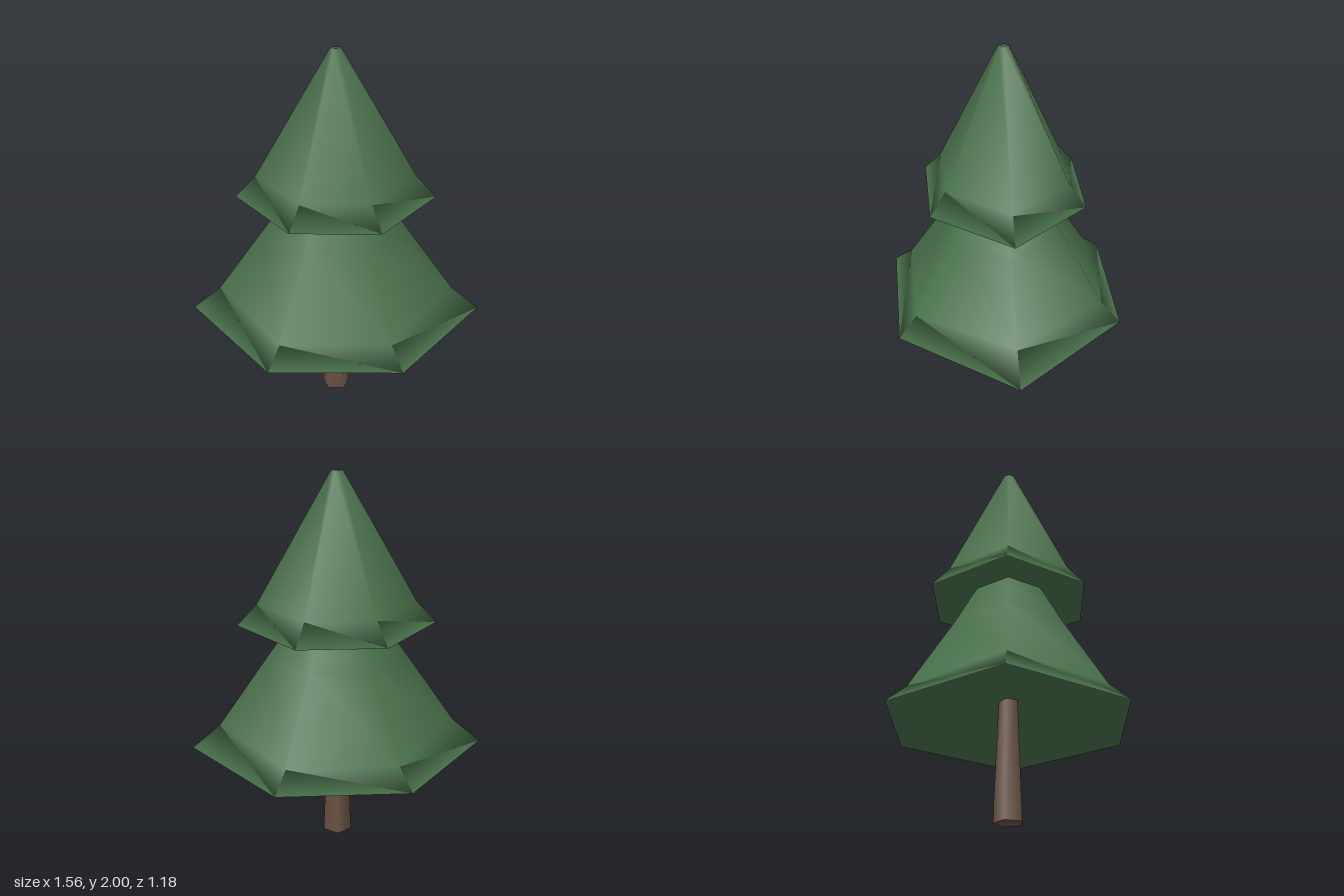
import * as THREE from 'three';

const needles = new THREE.MeshStandardMaterial({ color: 0x48704a });
const bark = new THREE.MeshStandardMaterial({ color: 0x6a5040 });
needles.name = 'needleGreen';
bark.name = 'barkBrown';

// Six-sided, smooth-shaded tier. Each ring is [radius, y, diagonalScale, diagonalDrop]:
// the four diagonal corners sit closer in than the two on the x axis.
function tier(name, rings) {
  const profile = rings.map(([r, y]) => new THREE.Vector2(r, y));
  const geometry = new THREE.LatheGeometry(profile, 6, Math.PI / 2);
  const pos = geometry.attributes.position;
  for (let i = 0; i < pos.count; i++) {
    const corner = Math.floor(i / rings.length);
    if (corner % 3 === 0) continue;
    const [, , scale = 0.87, drop = 0] = rings[i % rings.length];
    pos.setXYZ(i, pos.getX(i) * scale, pos.getY(i) - drop, pos.getZ(i) * scale);
  }
  const mesh = new THREE.Mesh(geometry, needles);
  mesh.name = name;
  return mesh;
}

export function createModel() {
  const tree = new THREE.Group();
  tree.name = 'pineTree';

  // Five-sided tapering trunk with a corner at the back
  const trunk = new THREE.Mesh(
    new THREE.CylinderGeometry(0.05, 0.08, 0.72, 5, 1, false, Math.PI), bark);
  trunk.name = 'trunk';
  trunk.position.y = 0.36;
  tree.add(trunk);

  // Tiers run from the hollow underside, round the flared rim, up to the top
  tree.add(tier('lowerBranches', [
    [0, 0.64], [0.78, 0.51], [0.63, 0.64, 0.9, 0.03],
    [0.37, 1.02, 0.85], [0.245, 1.2, 0.88], [0.12, 1.38], [0, 1.4],
  ]));
  tree.add(tier('upperBranches', [
    [0, 1.27], [0.52, 1.2], [0.415, 1.315, 0.86], [0.03, 2, 1], [0, 2],
  ]));

  return tree;
}
